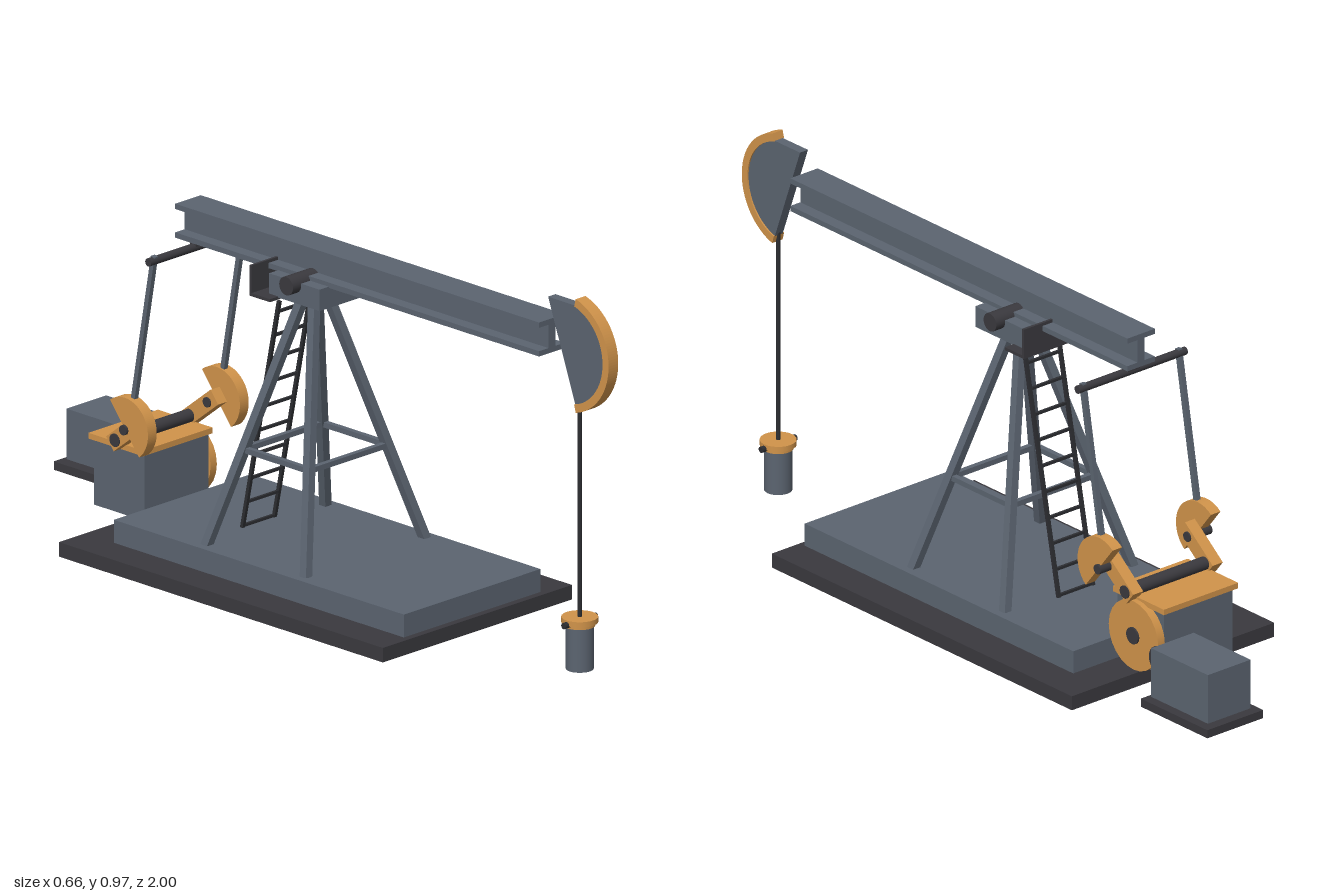
import * as THREE from 'three';

const mat = (name, color, side = THREE.FrontSide) => {
  const m = new THREE.MeshStandardMaterial({ color, side });
  m.name = name;
  return m;
};

export function createModel() {
  const root = new THREE.Group();
  root.name = 'pumpJack';
  const grey = mat('slateSteel', 0x5b6470);
  const orange = mat('orangePaint', 0xd0934a);
  const dark = mat('darkIron', 0x3a393e);
  const black = mat('blackSteel', 0x2c2d31);

  const add = (name, geo, material) => {
    const m = new THREE.Mesh(geo, material);
    m.name = name;
    root.add(m);
    return m;
  };
  // Box given by its extents on each axis
  const box = (name, material, x0, x1, y0, y1, z0, z1) => {
    const m = add(name, new THREE.BoxGeometry(x1 - x0, y1 - y0, z1 - z0), material);
    m.position.set((x0 + x1) / 2, (y0 + y1) / 2, (z0 + z1) / 2);
    return m;
  };
  // Straight member between two points, square or round
  const member = (name, material, a, b, size, round = false) => {
    const p = new THREE.Vector3(...a), q = new THREE.Vector3(...b);
    const d = q.clone().sub(p), len = d.length();
    const geo = round ? new THREE.CylinderGeometry(size, size, len, 24)
      : new THREE.BoxGeometry(size, len, size);
    const m = add(name, geo, material);
    m.position.copy(p).add(q).multiplyScalar(0.5);
    m.quaternion.setFromUnitVectors(new THREE.Vector3(0, 1, 0), d.normalize());
    return m;
  };
  const axle = (name, material, x0, x1, y, z, r) =>
    member(name, material, [x0, y, z], [x1, y, z], r, true);
  // Side profile in (z, y), extruded across x
  const plate = (name, material, shape, x0, x1) => {
    const geo = new THREE.ExtrudeGeometry(shape, { depth: x1 - x0, bevelEnabled: false, curveSegments: 28 });
    geo.rotateY(-Math.PI / 2);
    geo.translate(x1, 0, 0);
    return add(name, geo, material);
  };

  // Foundation
  box('baseSlab', dark, -0.332, 0.332, 0.01, 0.048, -0.6, 0.526);
  box('basePlinth', grey, -0.24, 0.24, 0.048, 0.108, -0.5, 0.508);

  // Walking beam: an I section
  box('beamTopFlange', grey, -0.045, 0.045, 0.878, 0.892, -0.48, 0.785);
  box('beamWeb', grey, -0.012, 0.012, 0.815, 0.88, -0.48, 0.785);
  box('beamBottomFlange', grey, -0.045, 0.045, 0.803, 0.817, -0.48, 0.785);

  // Horse head with curved rim
  const hz = 0.845, hy = 0.822, half = 1.31;
  const head = new THREE.Shape();
  head.moveTo(0.785, 0.803);
  head.absarc(hz, hy, 0.134, -half, half, false);
  head.lineTo(0.785, 0.952);
  head.closePath();
  plate('horseHead', grey, head, -0.013, 0.013);
  const rim = new THREE.Shape();
  rim.absarc(hz, hy, 0.154, -half, half, false);
  rim.absarc(hz, hy, 0.133, half, -half, true);
  rim.closePath();
  plate('horseHeadRim', orange, rim, -0.017, 0.017);

  // Hanging rod and wellhead
  const wz = 0.882;
  member('polishedRod', black, [0, 0.12, wz], [0, 0.7, wz], 0.0055, true);
  member('wellCasing', grey, [0, 0, wz], [0, 0.12, wz], 0.035, true);
  member('wellCollar', orange, [0, 0.113, wz], [0, 0.124, wz], 0.039, true);
  member('wellFlange', orange, [0, 0.122, wz], [0, 0.136, wz], 0.046, true);
  axle('wellValve', black, -0.057, 0.057, 0.124, wz, 0.008);

  // Four-legged tower
  const cz = -0.036;
  const legAt = (sx, sz, y) => {
    const t = (y - 0.108) / 0.647;
    return [sx * (0.208 - 0.186 * t), y, cz + sz * (0.172 - 0.155 * t)];
  };
  for (const s of [-1, 1]) {
    for (const sz of [-1, 1])
      member('towerLeg', grey, legAt(s, sz, 0.104), legAt(s, sz, 0.765), 0.022);
    member('towerCrossBrace', grey, legAt(-1, s, 0.354), legAt(1, s, 0.354), 0.014);
    member('towerSideBrace', grey, legAt(s, -1, 0.354), legAt(s, 1, 0.354), 0.014);
  }

  // Saddle bearing and service platform
  box('saddleBlock', grey, -0.077, 0.077, 0.75, 0.806, -0.122, 0.054);
  axle('saddlePivot', dark, -0.106, 0.106, 0.801, -0.034, 0.024);
  box('platformFloor', dark, -0.106, 0.106, 0.745, 0.753, -0.16, -0.09);
  box('platformBackPlate', dark, -0.106, 0.106, 0.745, 0.825, -0.162, -0.155);

  // Ladder
  const ladderZ = y => -0.235 + (y - 0.108) * 0.205;
  for (const s of [-1, 1])
    member('ladderRail', black, [s * 0.056, 0.108, ladderZ(0.108)], [s * 0.056, 0.732, ladderZ(0.732)], 0.009);
  for (let i = 0; i < 10; i++) {
    const y = 0.113 + i * 0.0655;
    member('ladderRung', black, [-0.056, y, ladderZ(y)], [0.056, y, ladderZ(y)], 0.007);
  }

  // Equalizer bar across the beam tail
  axle('equalizerBar', dark, -0.177, 0.177, 0.78, -0.443, 0.0105);
  box('equalizerBracket', dark, -0.02, 0.02, 0.782, 0.805, -0.453, -0.433);

  // Cranks, counterweights and pitman arms
  const pinZ = -0.525, pinY = 0.322, shaftZ = -0.588, shaftY = 0.272;
  const dir = new THREE.Vector2(shaftZ - pinZ, shaftY - pinY).normalize();
  const back = Math.atan2(-dir.y, -dir.x);
  const weight = new THREE.Shape();
  weight.absarc(pinZ, pinY + 0.003, 0.081, back - Math.PI / 2, back + Math.PI / 2, false);
  weight.closePath();
  const arm = new THREE.Shape();
  const corner = (along, side) => new THREE.Vector2(
    pinZ + dir.x * along - dir.y * side, pinY + dir.y * along + dir.x * side);
  arm.setFromPoints([corner(-0.03, -0.021), corner(0.103, -0.021), corner(0.103, 0.021), corner(-0.03, 0.021)]);
  for (const s of [-1, 1]) {
    const span = (a, b) => s > 0 ? [a, b] : [-b, -a];
    plate('counterweight', orange, weight, ...span(0.146, 0.177));
    plate('crankArm', orange, arm, ...span(0.114, 0.147));
    axle('crankPin', dark, s * 0.11, s * 0.184, pinY, pinZ, 0.013);
    member('pitmanArm', grey, [s * 0.157, 0.792, -0.441], [s * 0.157, pinY, pinZ], 0.013);
  }
  axle('crankShaft', dark, -0.15, 0.15, shaftY, shaftZ, 0.017);

  // Gearbox
  box('gearbox', grey, -0.112, 0.112, 0.068, 0.242, -0.695, -0.52);
  box('gearboxLid', orange, -0.122, 0.122, 0.241, 0.256, -0.705, -0.515);

  // Drive wheels
  axle('driveWheel', orange, 0.114, 0.136, 0.157, -0.607, 0.093);
  axle('driveWheelHub', dark, 0.11, 0.141, 0.157, -0.607, 0.022);
  axle('motorPulley', dark, 0.114, 0.139, 0.123, -0.705, 0.037);
  member('motorShaft', dark, [0.127, 0.123, -0.7], [0.127, 0.123, -0.78], 0.008, true);

  // Motor on its skid
  box('motorHousing', grey, 0.078, 0.218, 0.07, 0.202, -0.98, -0.767);
  box('motorSkid', dark, 0.054, 0.237, 0.043, 0.065, -1, -0.75);

  return root;
}
